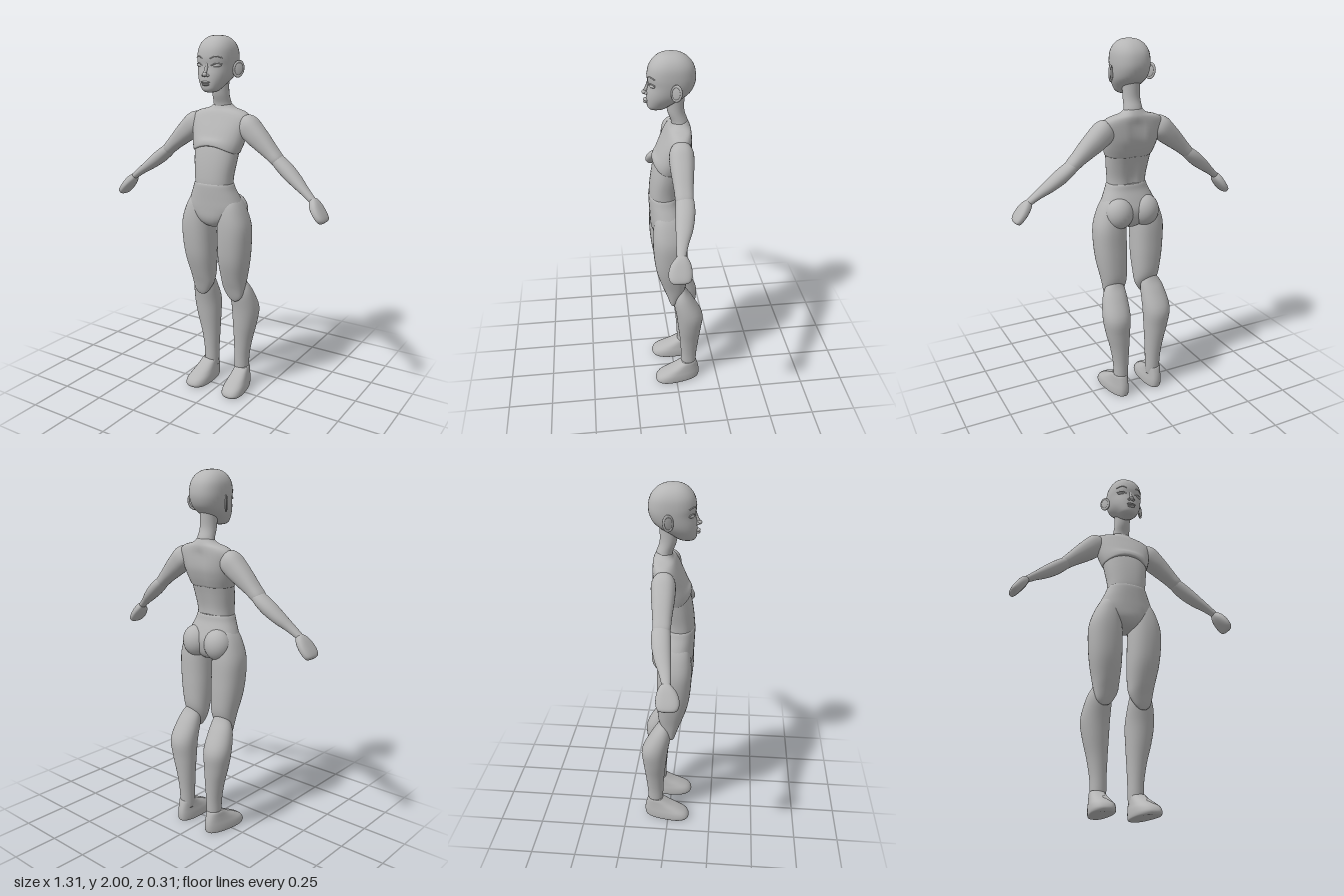
import * as THREE from 'three';

const skin = new THREE.MeshStandardMaterial({ color: 0xb6b6b6 });
skin.name = 'plain grey';

// Smooth value between section rows
function cubic(a, b, c, d, t) {
  return 0.5 * (2 * b + (c - a) * t + (2 * a - 5 * b + 4 * c - d) * t * t + (3 * b - a - 3 * c + d) * t * t * t);
}

// Closed skin over rows of [y, xMin, xMax, zFront, zBack], listed top to bottom
function loft(rows, { power = 2.3, segs = 32, steps = 4, warp } = {}) {
  const pos = [], idx = [], last = rows.length - 1, count = last * steps;
  const row = (i) => rows[Math.min(last, Math.max(0, i))];
  const put = (x, y, z) => {
    const v = new THREE.Vector3(x, y, z);
    if (warp) warp(v);
    pos.push(v.x, v.y, v.z);
  };
  const section = (k) => {
    const i = Math.min(last - 1, Math.floor(k / steps)), t = k / steps - i;
    return row(i).map((_, n) => cubic(row(i - 1)[n], row(i)[n], row(i + 1)[n], row(i + 2)[n], t));
  };
  const bend = (v) => Math.sign(v) * Math.pow(Math.abs(v), 2 / power);
  for (let k = 0; k <= count; k++) {
    const [y, x0, x1, zf, zb] = section(k);
    for (let j = 0; j < segs; j++) {
      const a = (j / segs) * Math.PI * 2;
      put((x0 + x1) / 2 + (x1 - x0) / 2 * bend(Math.cos(a)), y, (zf + zb) / 2 + (zf - zb) / 2 * bend(Math.sin(a)));
      if (k < count) {
        const p = k * segs + j, q = k * segs + (j + 1) % segs;
        idx.push(p, q, p + segs, q, q + segs, p + segs);
      }
    }
  }
  // End caps
  const top = pos.length / 3, base = count * segs;
  for (const r of [rows[0], rows[last]]) put((r[1] + r[2]) / 2, r[0], (r[3] + r[4]) / 2);
  for (let j = 0; j < segs; j++) {
    const n = (j + 1) % segs;
    idx.push(top, n, j, top + 1, base + j, base + n);
  }
  const g = new THREE.BufferGeometry();
  g.setAttribute('position', new THREE.Float32BufferAttribute(pos, 3));
  g.setIndex(idx);
  g.computeVertexNormals();
  return g;
}

// Rows that are symmetric in x: [y, halfWidth, zFront, zBack]
const even = (rows) => rows.map(([y, w, f, b]) => [y, -w, w, f, b]);

// Ellipsoid
function blob(x, y, z, rx, ry, rz, turnY = 0, turnZ = 0) {
  const g = new THREE.SphereGeometry(1, 24, 16);
  return g.scale(rx, ry, rz).rotateZ(turnZ).rotateY(turnY).translate(x, y, z);
}

// Thin tube through a few points
function strand(points, radius) {
  const curve = new THREE.CatmullRomCurve3(points.map((p) => new THREE.Vector3(...p)));
  return new THREE.TubeGeometry(curve, 14, radius, 6);
}

// Mirror across x, keeping faces outward
function mirrored(geometry) {
  const g = geometry.clone().scale(-1, 1, 1), a = g.index.array;
  for (let i = 0; i < a.length; i += 3) [a[i], a[i + 1]] = [a[i + 1], a[i]];
  g.computeVertexNormals();
  return g;
}

export function createModel() {
  const model = new THREE.Group();
  model.name = 'figure';
  const add = (name, g) => {
    const m = new THREE.Mesh(g, skin);
    m.name = name;
    model.add(m);
  };
  const pair = (name, g) => {
    add('left ' + name, g);
    add('right ' + name, mirrored(g));
  };

  // Head and neck
  add('head', loft(even([
    [2.0, 0.012, 0.032, 0.008], [1.993, 0.045, 0.067, -0.035], [1.97, 0.075, 0.1, -0.072],
    [1.935, 0.093, 0.124, -0.098], [1.89, 0.098, 0.133, -0.108], [1.85, 0.096, 0.129, -0.104],
    [1.81, 0.089, 0.135, -0.085], [1.78, 0.078, 0.137, -0.05], [1.75, 0.06, 0.136, 0.0],
    [1.73, 0.045, 0.132, 0.03], [1.718, 0.028, 0.12, 0.05], [1.714, 0.01, 0.1, 0.075],
  ])));
  add('neck', loft(even([
    [1.82, 0.05, 0.045, -0.055], [1.76, 0.046, 0.042, -0.052], [1.7, 0.046, 0.033, -0.053],
    [1.65, 0.05, 0.015, -0.07], [1.6, 0.06, 0.01, -0.078],
  ]), { power: 2 }));

  // Face
  add('nose bridge', strand([[0, 1.86, 0.123], [0, 1.83, 0.134], [0, 1.81, 0.146]], 0.009));
  add('nose tip', blob(0, 1.807, 0.146, 0.014, 0.011, 0.014));
  pair('nostril', blob(0.013, 1.803, 0.138, 0.009, 0.007, 0.009));
  add('upper lip', blob(0, 1.768, 0.139, 0.026, 0.006, 0.014));
  add('lower lip', blob(0, 1.757, 0.138, 0.021, 0.007, 0.014));
  pair('eye', blob(0.05, 1.851, 0.108, 0.024, 0.009, 0.014, 0.4, 0.12));
  pair('upper eyelid', strand([[0.025, 1.85, 0.126], [0.05, 1.862, 0.119], [0.076, 1.858, 0.099]], 0.003));
  pair('eyebrow', strand([[0.022, 1.885, 0.131], [0.05, 1.897, 0.122], [0.077, 1.889, 0.099]], 0.0025));

  // Ears
  const placeEar = (g) => g.rotateZ(-0.2).rotateY(0.9).translate(0.113, 1.832, 0);
  pair('ear', placeEar(blob(0, 0, 0, 0.029, 0.04, 0.007)));
  pair('ear rim', placeEar(new THREE.TorusGeometry(0.026, 0.006, 8, 24).scale(1, 1.4, 1)));

  // Torso
  const spine = (v) => {
    if (v.z < 0) v.z += 0.012 * Math.exp(-((v.x / 0.028) ** 2)) * THREE.MathUtils.smoothstep(1.62 - v.y, 0, 0.06);
  };
  add('chest', loft(even([
    [1.65, 0.046, 0.008, -0.07], [1.628, 0.075, 0.018, -0.08], [1.607, 0.145, 0.033, -0.085],
    [1.57, 0.176, 0.052, -0.087], [1.5, 0.16, 0.087, -0.087], [1.45, 0.149, 0.105, -0.075],
    [1.41, 0.136, 0.115, -0.06], [1.395, 0.128, 0.114, -0.052], [1.39, 0.11, 0.1, -0.04],
  ]), {
    warp: (v) => {
      spine(v);
      // Ribcage arch along the lower front edge
      if (v.z > 0) v.y += 0.045 * (1 - Math.min(1, (v.x / 0.13) ** 2)) * THREE.MathUtils.smoothstep(1.5 - v.y, 0, 0.1);
    },
  }));
  add('abdomen', loft(even([
    [1.48, 0.13, 0.09, -0.06], [1.42, 0.128, 0.108, -0.056], [1.35, 0.121, 0.122, -0.038],
    [1.28, 0.111, 0.131, -0.023], [1.23, 0.108, 0.133, -0.02], [1.18, 0.108, 0.125, -0.02],
  ]), { warp: spine }));
  add('pelvis', loft(even([
    [1.24, 0.106, 0.132, -0.02], [1.23, 0.113, 0.136, -0.024], [1.2, 0.124, 0.136, -0.03],
    [1.15, 0.147, 0.134, -0.05], [1.1, 0.163, 0.132, -0.065], [1.05, 0.128, 0.128, -0.06],
    [1.015, 0.078, 0.113, -0.045], [0.995, 0.038, 0.085, -0.02], [0.988, 0.01, 0.05, 0.01],
  ])));
  pair('buttock', blob(0.078, 1.083, -0.018, 0.08, 0.088, 0.074));

  // Legs
  pair('thigh', loft([
    [1.18, 0.085, 0.12, 0.065, 0.01], [1.14, 0.05, 0.152, 0.105, -0.03], [1.08, 0.033, 0.181, 0.121, -0.05],
    [1.0, 0.025, 0.204, 0.127, -0.06], [0.9, 0.022, 0.204, 0.122, -0.061], [0.8, 0.022, 0.194, 0.108, -0.061],
    [0.7, 0.028, 0.175, 0.078, -0.055], [0.64, 0.036, 0.165, 0.056, -0.03], [0.59, 0.062, 0.153, 0.039, -0.003],
    [0.567, 0.085, 0.133, 0.029, 0.01], [0.56, 0.105, 0.115, 0.024, 0.017],
  ]));
  pair('shin', loft([
    [0.7, 0.09, 0.13, -0.01, -0.045], [0.66, 0.06, 0.165, 0.01, -0.062], [0.6, 0.05, 0.19, 0.017, -0.1],
    [0.5, 0.048, 0.205, 0.0, -0.15], [0.4, 0.052, 0.19, -0.012, -0.145], [0.3, 0.057, 0.165, -0.024, -0.135],
    [0.2, 0.061, 0.148, -0.031, -0.125], [0.12, 0.062, 0.144, -0.034, -0.12], [0.08, 0.065, 0.14, -0.04, -0.115],
  ], { power: 2.1 }));
  pair('foot', loft(even([
    [0.128, 0.05, -0.035, -0.118], [0.12, 0.056, -0.026, -0.124], [0.095, 0.06, 0.015, -0.132],
    [0.07, 0.065, 0.065, -0.138], [0.045, 0.071, 0.108, -0.141], [0.02, 0.073, 0.124, -0.14],
    [0.004, 0.07, 0.118, -0.136], [0.0, 0.062, 0.108, -0.128],
  ]), {
    power: 2.5,
    // Narrow heel, wide toes, slightly turned out
    warp: (v) => {
      const t = (v.z + 0.14) / 0.265;
      v.x = 0.105 + 0.02 * t + v.x * (0.65 + 0.35 * t);
    },
  }));

  // Arms: modelled hanging down, then swung outward
  const swing = (g, degrees, x, y) => g.rotateZ(THREE.MathUtils.degToRad(degrees)).translate(x, y, 0);
  pair('upper arm', swing(loft([
    [0.055, -0.02, 0.015, 0.0, -0.035], [0.04, -0.045, 0.045, 0.025, -0.06], [0.0, -0.062, 0.06, 0.043, -0.078],
    [-0.06, -0.06, 0.057, 0.045, -0.076], [-0.12, -0.05, 0.051, 0.041, -0.068], [-0.19, -0.037, 0.041, 0.036, -0.059],
    [-0.245, -0.03, 0.034, 0.033, -0.053], [-0.265, -0.015, 0.02, 0.015, -0.035],
  ]), 47.6, 0.165, 1.54));
  pair('forearm', swing(loft([
    [0.03, -0.015, 0.015, 0.01, -0.035], [0.018, -0.029, 0.029, 0.028, -0.052], [-0.03, -0.036, 0.035, 0.037, -0.058],
    [-0.09, -0.038, 0.036, 0.043, -0.052], [-0.16, -0.031, 0.03, 0.048, -0.034], [-0.22, -0.022, 0.023, 0.052, -0.009],
    [-0.28, -0.017, 0.018, 0.055, 0.01], [-0.31, -0.014, 0.015, 0.053, 0.015],
  ], { power: 2.1 }), 52, 0.345, 1.377));
  pair('hand', swing(loft([
    [0.012, -0.012, 0.012, 0.052, 0.015], [0.0, -0.02, 0.02, 0.063, 0.004], [-0.025, -0.025, 0.024, 0.084, -0.008],
    [-0.06, -0.025, 0.024, 0.098, -0.014], [-0.095, -0.022, 0.022, 0.099, -0.011], [-0.116, -0.017, 0.017, 0.086, 0.0],
    [-0.123, -0.007, 0.007, 0.062, 0.022],
  ], { power: 2.6 }), 36, 0.572, 1.2));

  return model;
}
